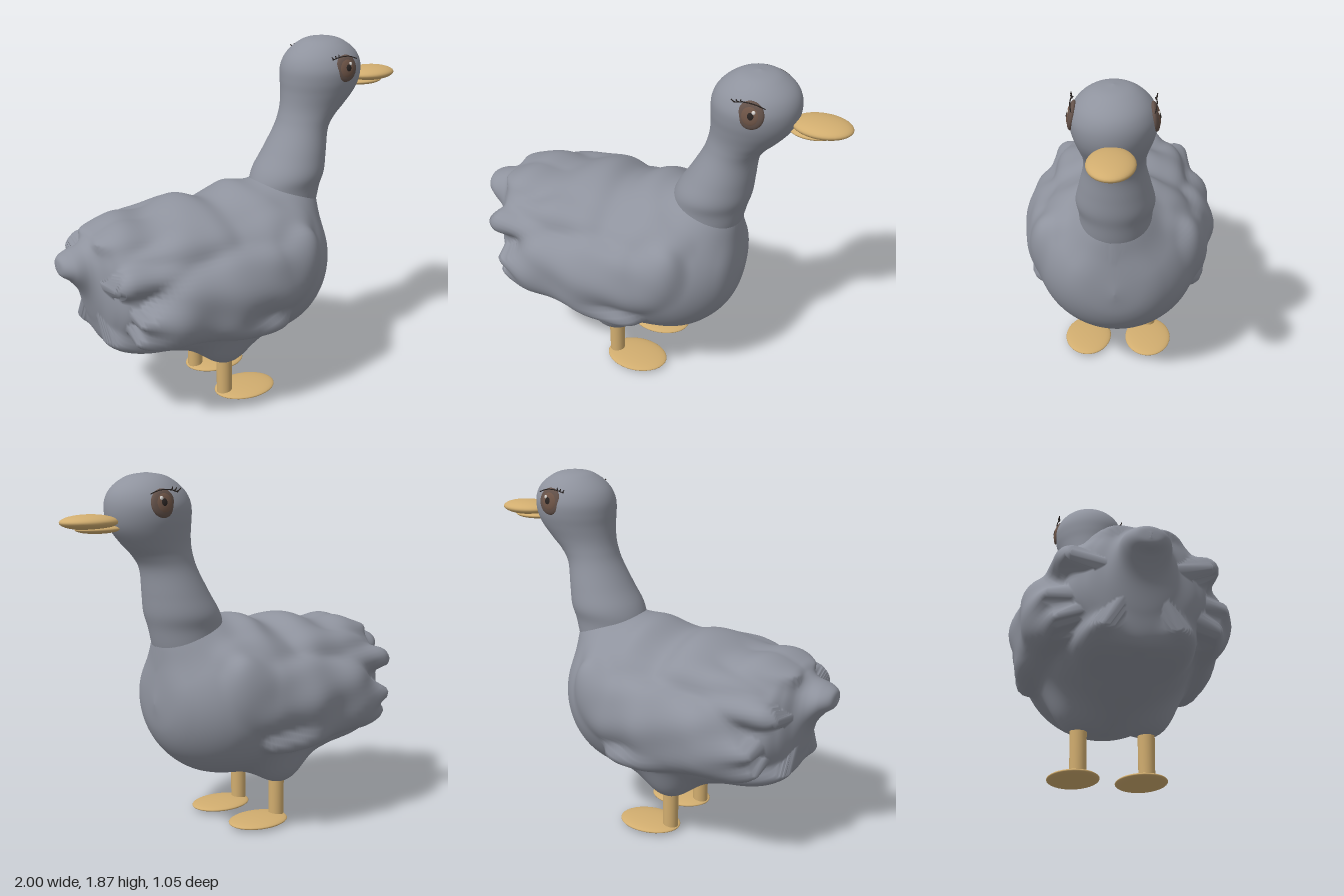
import * as THREE from 'three';

const mat = (name, color) => {
  const m = new THREE.MeshStandardMaterial({ color });
  m.name = name;
  return m;
};
const spline = pts => new THREE.CatmullRomCurve3(pts.map(p => new THREE.Vector3(...p)), false, 'catmullrom', 0.5);

// Smooth skin through sections [t, low, high, halfWidth]; place() turns each into a point.
function loft(sections, rings, sides, place) {
  const range = spline(sections.map(s => [s[0], s[1], s[2]]));
  const widths = spline(sections.map(s => [s[3], 0, 0]));
  const pos = [], index = [];
  for (let i = 0; i <= rings; i++) {
    const p = range.getPoint(i / rings);
    const w = Math.max(0, widths.getPoint(i / rings).x);
    for (let j = 0; j < sides; j++) {
      pos.push(...place(p.x, (p.y + p.z) / 2, (p.z - p.y) / 2, w, j / sides * Math.PI * 2));
      if (i < rings) {
        const q = i * sides + j, r = i * sides + (j + 1) % sides;
        index.push(q, q + sides, r, r, q + sides, r + sides);
      }
    }
  }
  const g = new THREE.BufferGeometry();
  g.setAttribute('position', new THREE.Float32BufferAttribute(pos, 3));
  g.setIndex(index);
  g.computeVertexNormals();
  return g;
}

// Approximate distance to an ellipsoid, and a soft union of two distances
function ovalDistance(x, y, z, rx, ry, rz) {
  const k = Math.hypot(x / rx, y / ry, z / rz);
  return k * (k - 1) / Math.max(1e-6, Math.hypot(x / rx / rx, y / ry / ry, z / rz / rz));
}
function softMin(a, b, k) {
  const h = Math.max(k - Math.abs(a - b), 0) / k;
  return Math.min(a, b) - h * h * k / 4;
}

// Plumage masses melted into the body: x, y, |z|, three radii, tilt, softness
const masses = [
  [-0.24, 0.71, 0.375, 0.47, 0.22, 0.14, 0.1, 0.04],   // wing
  [-0.5, 0.69, 0.4, 0.25, 0.1, 0.09, 0.05, 0.02],      // wing tip
  [-0.12, 0.54, 0.39, 0.22, 0.08, 0.1, -0.1, 0.03],    // lower wing edge
  [0.16, 0.8, 0.35, 0.13, 0.19, 0.1, -0.3, 0.05],      // shoulder
  [0.06, 0.93, 0.25, 0.23, 0.1, 0.09, 0.1, 0.06],      // upper shoulder
  [-0.42, 0.94, 0.25, 0.28, 0.09, 0.11, 0, 0.05],      // back feathers
  [-0.62, 0.86, 0.31, 0.22, 0.08, 0.09, 0.08, 0.03],   // side feather tip
  [-0.63, 1.0, 0.1, 0.21, 0.06, 0.12, 0, 0.05],        // top feather tip
  [-0.55, 0.59, 0.36, 0.22, 0.09, 0.09, 0.1, 0.03],    // flank feather tip
  [-0.66, 0.49, 0.16, 0.19, 0.075, 0.12, -0.25, 0.05], // under-tail feather
  [-0.165, 0.35, 0.18, 0.1, 0.115, 0.095, 0, 0.16],    // thigh
  [0.3, 0.99, 0, 0.185, 0.19, 0.19, 0, 0.1],           // root of the neck
];

function plumageDistance(x, y, z, mid, h, w) {
  let d = ovalDistance(0, y - mid, z, 1, h, w);
  for (const [cx, cy, cz, rx, ry, rz, tilt, soft] of masses) {
    const c = Math.cos(tilt), s = Math.sin(tilt), dx = x - cx, dy = y - cy;
    d = softMin(d, ovalDistance(dx * c + dy * s, dy * c - dx * s, Math.abs(z) - cz, rx, ry, rz), soft);
  }
  // Feather ripples on the back and sides
  const fade = THREE.MathUtils.smoothstep(0.3 - x, 0, 0.3) * THREE.MathUtils.smoothstep(y, 0.4, 0.6)
    * THREE.MathUtils.smoothstep(x, -0.9, -0.75);
  return d + fade * (0.011 * Math.sin(13 * x + 9 * y) * Math.sin(17 * y - 5 * x + 1) + 0.006 * Math.sin(21 * x + 8 * z));
}

// Outermost surface point on a ray from the body's axis
function bodyPoint(x, mid, h, w, a) {
  if (w < 1e-6) return [x, mid, 0];
  const hh = Math.max(h, 0.005), ww = Math.max(w, 0.005);
  const dist = r => plumageDistance(x, mid + r * Math.sin(a), r * Math.cos(a), mid, hh, ww);
  let out = 0.7;
  while (out > 0 && dist(out) > 0) out -= 0.01;
  let inner = Math.max(out, 0), outer = inner + 0.01;
  for (let i = 0; i < 8 && out > 0; i++) {
    const m = (inner + outer) / 2;
    if (dist(m) > 0) outer = m; else inner = m;
  }
  return [x, mid + inner * Math.sin(a), inner * Math.cos(a)];
}

export function createModel() {
  const duck = new THREE.Group();
  duck.name = 'duck';
  const plumage = mat('plumage grey', 0x8f939e);
  const horn = mat('bill and leg tan', 0xd1ad6f);
  const rimBrown = mat('eye rim brown', 0x64524a);
  const irisBrown = mat('iris brown', 0x705648);
  const black = mat('pupil and lash black', 0x2a2422);
  const white = mat('eye highlight', 0xd8d4d0);

  const add = (name, geometry, material, x = 0, y = 0, z = 0, parent = duck) => {
    const m = new THREE.Mesh(geometry, material);
    m.name = name;
    m.position.set(x, y, z);
    parent.add(m);
    return m;
  };
  const ball = (name, material, [x, y, z], [rx, ry, rz], parent = duck) =>
    add(name, new THREE.SphereGeometry(1, 32, 20), material, x, y, z, parent).scale.set(rx, ry, rz);

  // Body with wings, from tail to breast
  add('bodyAndWings', loft([
    [-1.0, 0.87, 0.89, 0], [-0.988, 0.84, 0.93, 0.065], [-0.94, 0.8, 0.955, 0.11], [-0.88, 0.71, 0.975, 0.13],
    [-0.84, 0.57, 1.0, 0.17], [-0.8, 0.455, 1.03, 0.25], [-0.72, 0.41, 1.05, 0.34], [-0.5, 0.34, 1.07, 0.41],
    [-0.28, 0.29, 1.125, 0.435], [-0.14, 0.28, 1.105, 0.44], [0.03, 0.285, 1.14, 0.44], [0.2, 0.31, 1.12, 0.42],
    [0.32, 0.36, 1.07, 0.365], [0.42, 0.45, 0.99, 0.275], [0.48, 0.56, 0.9, 0.17], [0.505, 0.7, 0.73, 0],
  ], 150, 112, bodyPoint), plumage);

  // Neck and head in one skin, its foot buried in the body
  add('neckAndHead', loft([
    [0.75, 0.2, 0.38, 0.09], [0.9, 0.16, 0.44, 0.15], [1.0, 0.125, 0.48, 0.178], [1.1, 0.115, 0.505, 0.185],
    [1.18, 0.14, 0.527, 0.197], [1.28, 0.2, 0.538, 0.178], [1.4, 0.265, 0.553, 0.152], [1.47, 0.29, 0.595, 0.15],
    [1.53, 0.302, 0.655, 0.16], [1.6, 0.306, 0.712, 0.181], [1.66, 0.304, 0.737, 0.197], [1.72, 0.307, 0.743, 0.202],
    [1.77, 0.325, 0.732, 0.188], [1.81, 0.357, 0.705, 0.163], [1.845, 0.402, 0.66, 0.125],
    [1.868, 0.45, 0.61, 0.077], [1.88, 0.53, 0.532, 0],
  ], 90, 56, (y, mid, h, w, a) => [mid + h * Math.cos(a), y, w * Math.sin(a)]), plumage);

  // Bill
  ball('upperBill', horn, [0.85, 1.65, 0], [0.147, 0.037, 0.11]);
  ball('lowerBill', horn, [0.805, 1.615, 0], [0.115, 0.021, 0.082]);

  for (const side of [1, -1]) {
    const tag = side > 0 ? 'Near' : 'Far';

    // Leg and flat oval foot
    add('leg' + tag, new THREE.CylinderGeometry(0.043, 0.041, 0.31, 24), horn, -0.16, 0.185, side * 0.17);
    ball('foot' + tag, horn, [-0.035, 0.029, side * 0.172], [0.173, 0.022, 0.13]);

    // Eye: stacked thin domes facing outward
    const eye = new THREE.Group();
    eye.name = 'eye' + tag;
    eye.position.set(0.555, 1.737, side * 0.185);
    eye.rotation.x = side * -0.15;
    duck.add(eye);
    const dome = (name, m, x, y, z, rx, ry, rz) => ball(name, m, [x, y, side * z], [rx, ry, rz], eye);
    dome('eyeRim', rimBrown, 0, 0, 0, 0.065, 0.07, 0.022);
    dome('iris', irisBrown, 0, 0, 0.006, 0.05, 0.055, 0.019);
    dome('pupil', black, 0.004, 0.002, 0.012, 0.024, 0.028, 0.0155);
    dome('highlight', white, 0.018, 0.022, 0.021, 0.009, 0.01, 0.006);

    // Upper lid line and lashes
    const stroke = (name, pts) => add(name, new THREE.TubeGeometry(
      spline(pts.map(p => [p[0], p[1], p[2] * side])), 10, 0.0028, 6), black, 0, 0, 0, eye);
    stroke('lidLine', [[-0.085, 0.05, 0.008], [-0.035, 0.062, 0.016], [0.02, 0.06, 0.016], [0.068, 0.044, 0.006]]);
    for (let i = 0; i < 3; i++) {
      const x = -0.075 + i * 0.018, y = 0.052 + i * 0.004;
      stroke('lash', [[x, y, 0.01], [x - 0.01, y + 0.005, 0.016], [x - 0.02 + i * 0.005, y + 0.015, 0.02]]);
    }
  }
  return duck;
}
